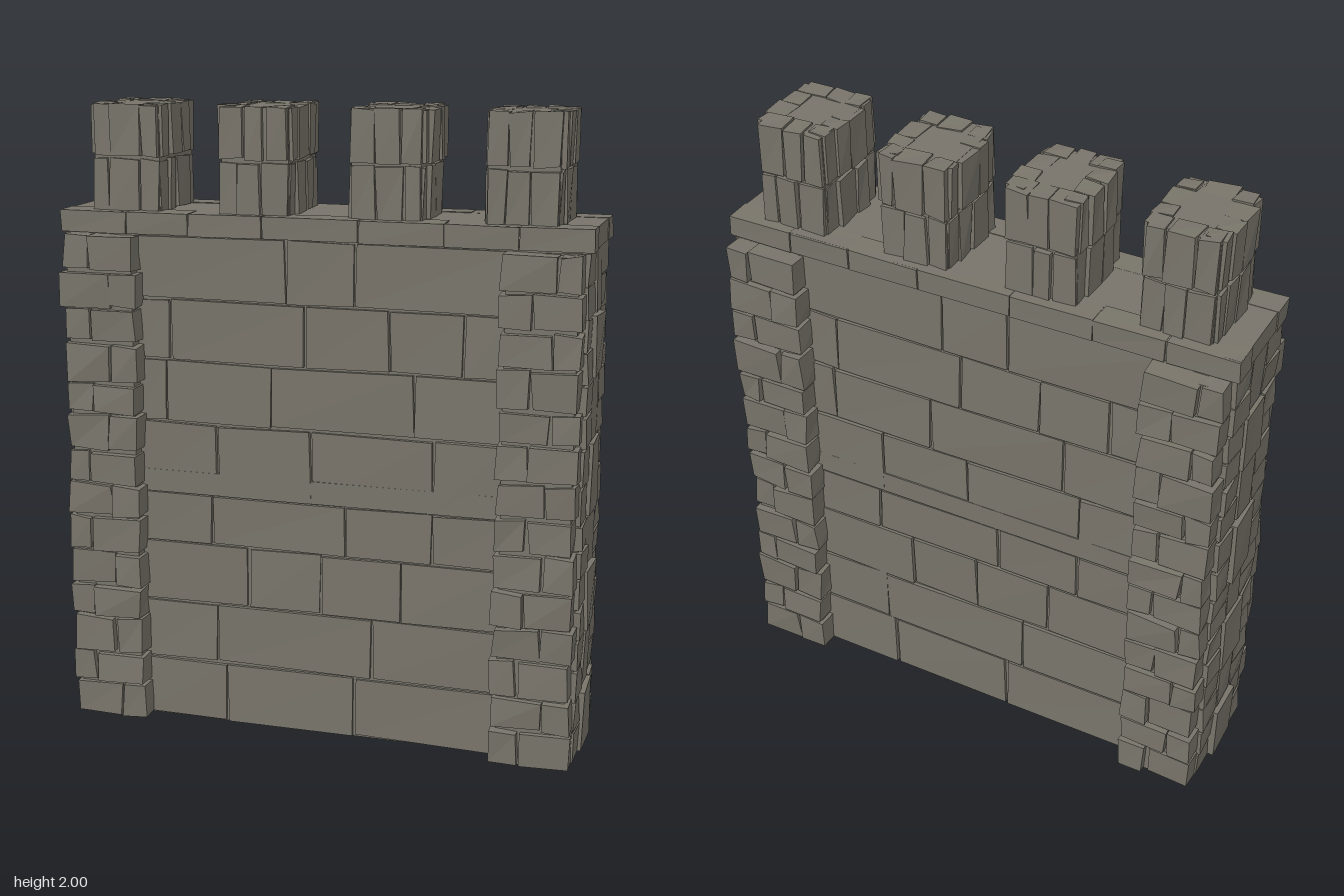
import * as THREE from 'three';
import { mergeGeometries } from 'three/addons/utils/BufferGeometryUtils.js';

export function createModel() {
  const model = new THREE.Group();
  model.name = 'castleWall';
  const stone = new THREE.MeshStandardMaterial({ color: 0x78746a });
  stone.name = 'grey stone';
  stone.flatShading = true;

  // Small seeded generator, centred on zero
  let seed = 17;
  const rnd = () => {
    seed = (seed * 16807) % 2147483647;
    return (seed / 2147483647) * 2 - 1;
  };

  // Roughly cut block: a box whose eight corners are nudged
  const block = (x0, x1, y0, y1, z0, z1, j = 0) => {
    const g = new THREE.BoxGeometry(1, 1, 1);
    const p = g.attributes.position;
    const nudges = Array.from({ length: 8 }, () => [rnd() * j, rnd() * j, rnd() * j]);
    for (let i = 0; i < p.count; i++) {
      const sx = p.getX(i) > 0, sy = p.getY(i) > 0, sz = p.getZ(i) > 0;
      const n = nudges[(sx ? 1 : 0) + (sy ? 2 : 0) + (sz ? 4 : 0)];
      p.setXYZ(i,
        (sx ? x1 : x0) + n[0],
        THREE.MathUtils.clamp((sy ? y1 : y0) + n[1], 0, 2),
        (sz ? z1 : z0) + n[2]);
    }
    g.computeVertexNormals();
    return g;
  };

  const add = (name, parts, parent = model) => {
    const mesh = new THREE.Mesh(mergeGeometries(parts), stone);
    mesh.name = name;
    parent.add(mesh);
    return mesh;
  };
  const GAP = 0.004;

  // Solid core behind all the facing stones
  add('wallCore', [block(-0.82, 0.82, 0, 1.62, -0.166, 0.166)]);

  // Large facing stones: course heights and the seams in each course
  const courses = [0, 0.205, 0.405, 0.605, 0.77, 1.005, 1.205, 1.4, 1.6];
  const seams = [
    [-0.31, 0.12], [-0.34, 0.18], [-0.23, 0.01, 0.27], [-0.35, 0.09, 0.37],
    [-0.33, -0.02, 0.37], [-0.5, -0.15, 0.31], [-0.48, -0.04, 0.23, 0.46], [-0.1, 0.12],
  ];
  for (const side of ['front', 'back']) {
    const stones = [];
    seams.forEach((row, r) => {
      const xs = [-0.6, ...row, 0.6];
      for (let i = 0; i < xs.length - 1; i++) {
        stones.push(block(xs[i] + GAP, xs[i + 1] - GAP, courses[r] + GAP, courses[r + 1] - GAP,
          0.1, 0.178 + rnd() * 0.003, 0.004));
      }
    });
    // Smooth band below the fifth course
    stones.push(block(-0.58, 0.58, 0.772, 0.845, 0.1, 0.18));
    const mesh = add(side + 'Stones', stones);
    if (side === 'back') mesh.rotation.y = Math.PI;
  }

  // End faces: three columns, the middle stones standing proud in alternate courses
  for (const sx of [1, -1]) {
    const stones = [];
    for (let r = 0; r < courses.length - 1; r++) {
      const y0 = courses[r] + GAP, y1 = courses[r + 1] - GAP, mid = (y0 + y1) / 2;
      const half = r % 2 ? 0.055 : 0.075;
      stones.push(block(0.7, r % 2 ? 0.832 : 0.842, y0, y1, -half + GAP, half - GAP, 0.005));
      for (const s of [1, -1]) {
        for (const [a, b] of [[y0, mid - GAP], [mid + GAP, y1]]) {
          const z = s > 0 ? [half + GAP, 0.176] : [-0.176, -half - GAP];
          stones.push(block(0.7, 0.83 + rnd() * 0.004, a, b, z[0], z[1], 0.005));
        }
      }
    }
    const mesh = add(sx > 0 ? 'leftEndStones' : 'rightEndStones', stones);
    if (sx < 0) mesh.rotation.y = Math.PI;
  }

  // Corner buttresses: small stones in fourteen courses on a slim core
  const steps = [0, 0.12, 0.225, 0.35, 0.455, 0.57, 0.69, 0.8, 0.91, 1.03, 1.13, 1.26, 1.37, 1.485, 1.6];
  for (const sx of [1, -1]) for (const sz of [1, -1]) {
    const span = (a, b, s) => (s > 0 ? [a, b] : [-b, -a]);
    const parts = [block(...span(0.59, 0.805, sx), 0, 1.59, ...span(0.1, 0.225, sz))];
    for (let i = 0; i < steps.length - 1; i++) {
      const y0 = steps[i] + 0.006, y1 = steps[i + 1] - 0.006;
      const seam = (i % 2 ? 0.735 : 0.665) + rnd() * 0.012;
      const inner = 0.574 + (i % 2) * 0.006, outer = 0.816 + rnd() * 0.006;
      parts.push(block(...span(inner, seam - GAP, sx), y0, y1, ...span(0.1, 0.247 + rnd() * 0.006, sz), 0.006));
      parts.push(block(...span(seam + GAP, outer, sx), y0, y1, ...span(0.1, 0.243 + rnd() * 0.008, sz), 0.006));
    }
    add((sz > 0 ? 'front' : 'back') + (sx > 0 ? 'Left' : 'Right') + 'Buttress', parts);
  }

  // Coping course under the battlements
  const coping = [block(-0.838, 0.838, 1.602, 1.668, -0.18, 0.18)];
  const joints = [-0.843, -0.62, -0.415, -0.175, 0.13, 0.395, 0.62, 0.843];
  for (const s of [1, -1]) {
    for (let i = 0; i < joints.length - 1; i++) {
      const g = block(joints[i] + 0.002, joints[i + 1] - 0.002, 1.601, 1.669, 0.1, 0.187, 0.002);
      if (s < 0) g.rotateY(Math.PI);
      coping.push(g);
    }
  }
  add('coping', coping);

  // Four merlons, each two courses of stones around a core
  [-0.63, -0.21, 0.205, 0.62].forEach((cx, m) => {
    const parts = [block(-0.108, 0.108, 1.66, 1.993, -0.138, 0.138)];
    [[1.667, 1.83], [1.838, 2]].forEach(([y0, y1], c) => {
      const grow = c * 0.006;
      for (const s of [1, -1]) {
        // Broad faces: three stones, the middle one set further out
        const a = 0.035 + rnd() * 0.02, b = -0.04 + rnd() * 0.02;
        [[-0.11, b], [b, a], [a, 0.11]].forEach(([x0, x1], i) => {
          const g = block(x0 + 0.003, x1 - 0.003, y0, y1 - 0.003, 0.08,
            (i === 1 ? 0.153 : 0.148) + grow * 0.6, 0.005);
          if (s < 0) g.rotateY(Math.PI);
          parts.push(g);
        });
        // Narrow faces
        const d = rnd() * 0.025;
        [[-0.135, -0.08], [-0.08, d], [d, 0.08], [0.08, 0.135]].forEach(([z0, z1], i) => {
          const x1 = (i === 1 || i === 2 ? 0.121 : 0.112) + grow + rnd() * 0.003;
          const g = block(0.06, x1, y0, y1 - 0.004, z0 + 0.003, z1 - 0.003, 0.005);
          if (s < 0) g.rotateY(Math.PI);
          parts.push(g);
        });
      }
    });
    add('merlon' + (m + 1), parts).position.x = cx;
  });

  return model;
}
